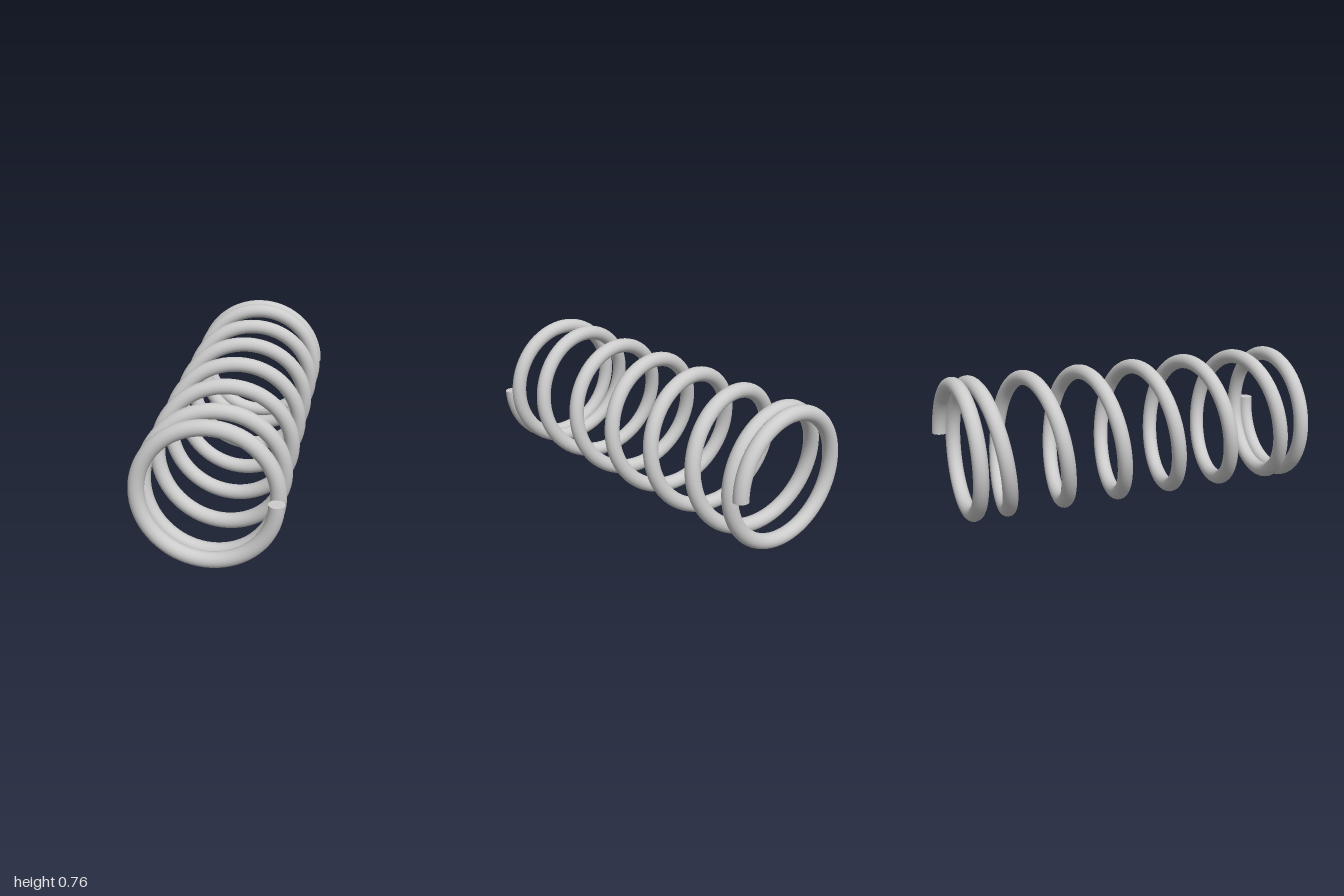
import * as THREE from 'three';

const TURNS = 8, COIL_R = 0.34, WIRE_R = 0.04, CENTER_Y = 0.381;
const END_Z = 0.96, CLOSED_PITCH = 0.075, OPEN_PITCH = 0.315;
const RAMP_START = 1, RAMP_LENGTH = 0.5, SIDES = 24;

// Distance from the middle, s turns in from an end: closed coils easing into open ones
function endOffset(s) {
  const u = THREE.MathUtils.clamp((s - RAMP_START) / RAMP_LENGTH, 0, 1);
  const eased = RAMP_LENGTH * (u ** 3 - u ** 4 / 2) + Math.max(0, s - RAMP_START - RAMP_LENGTH);
  return END_Z - CLOSED_PITCH * s - (OPEN_PITCH - CLOSED_PITCH) * eased;
}

// Helix along z with a varying pitch, the same at both ends
class SpringCurve extends THREE.Curve {
  getPoint(t, target = new THREE.Vector3()) {
    const turn = t * TURNS, a = turn * Math.PI * 2;
    const z = turn < TURNS / 2 ? endOffset(turn) : -endOffset(TURNS - turn);
    return target.set(COIL_R * Math.cos(a), CENTER_Y - COIL_R * Math.sin(a), z);
  }
}

export function createModel() {
  const spring = new THREE.Group();
  spring.name = 'coilSpring';
  const material = new THREE.MeshStandardMaterial({ color: 0xcccccc });
  const curve = new SpringCurve();
  curve.arcLengthDivisions = 2000;

  // Wound wire
  const wire = new THREE.Mesh(new THREE.TubeGeometry(curve, TURNS * 72, WIRE_R, SIDES), material);
  wire.name = 'coiledWire';
  spring.add(wire);

  // Flat cut ends of the wire
  for (const [name, t, sign] of [['frontWireEnd', 0, -1], ['backWireEnd', 1, 1]]) {
    const cap = new THREE.Mesh(new THREE.CircleGeometry(WIRE_R, SIDES), material);
    cap.name = name;
    cap.position.copy(curve.getPoint(t));
    const outward = curve.getTangent(t).multiplyScalar(sign);
    cap.quaternion.setFromUnitVectors(new THREE.Vector3(0, 0, 1), outward);
    spring.add(cap);
  }
  return spring;
}
